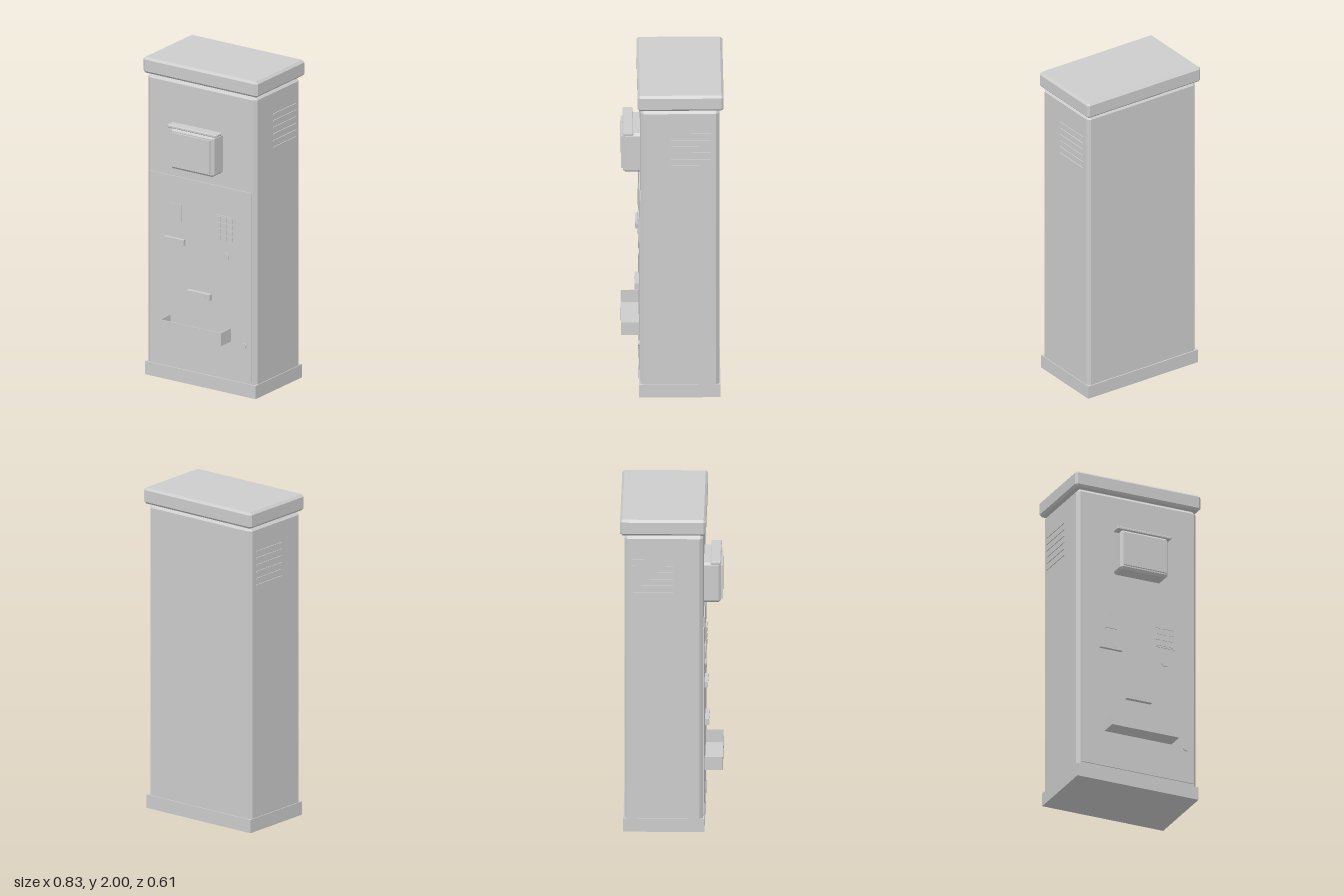
import * as THREE from 'three';
import { ConvexGeometry } from 'three/addons/geometries/ConvexGeometry.js';

const grey = new THREE.MeshStandardMaterial({ color: 0xcccccc });
grey.name = 'light grey metal';

export function createModel() {
  const root = new THREE.Group();
  root.name = 'ticketKiosk';

  const add = (name, geometry) => {
    const mesh = new THREE.Mesh(geometry, grey);
    mesh.name = name;
    root.add(mesh);
    return mesh;
  };

  // Box given by its limits
  const box = (name, x0, x1, y0, y1, z0, z1) => {
    const mesh = add(name, new THREE.BoxGeometry(x1 - x0, y1 - y0, z1 - z0));
    mesh.position.set((x0 + x1) / 2, (y0 + y1) / 2, (z0 + z1) / 2);
    return mesh;
  };

  // Box with every edge cut at 45 degrees by c
  const chamferBox = (name, x0, x1, y0, y1, z0, z1, c) => {
    const hx = (x1 - x0) / 2, hy = (y1 - y0) / 2, hz = (z1 - z0) / 2;
    const points = [];
    for (const sx of [-1, 1]) for (const sy of [-1, 1]) for (const sz of [-1, 1]) {
      points.push(
        new THREE.Vector3(sx * hx, sy * (hy - c), sz * (hz - c)),
        new THREE.Vector3(sx * (hx - c), sy * hy, sz * (hz - c)),
        new THREE.Vector3(sx * (hx - c), sy * (hy - c), sz * hz));
    }
    const mesh = add(name, new ConvexGeometry(points));
    mesh.position.set((x0 + x1) / 2, (y0 + y1) / 2, (z0 + z1) / 2);
    return mesh;
  };

  // Disc facing the front
  const disc = (name, x, y, z0, z1, r) => {
    const mesh = add(name, new THREE.CylinderGeometry(r, r, z1 - z0, 24).rotateX(Math.PI / 2));
    mesh.position.set(x, y, (z0 + z1) / 2);
    return mesh;
  };

  // Cabinet
  box('plinth', -0.4, 0.4, 0, 0.083, -0.287, 0.198);
  chamferBox('cabinet', -0.395, 0.395, 0.05, 1.895, -0.28, 0.19, 0.02);
  box('neck', -0.37, 0.37, 1.88, 1.91, -0.255, 0.165);
  chamferBox('roof', -0.414, 0.414, 1.9, 2, -0.305, 0.207, 0.014);
  box('door', -0.37, 0.37, 0.1, 1.29, 0.18, 0.196);

  // Side vents
  for (const side of [-1, 1]) for (let i = 0; i < 6; i++) {
    const y = 1.53 + i * 0.042;
    box('ventSlat', side * 0.396 - 0.004, side * 0.396 + 0.004, y - 0.005, y + 0.005, -0.23, 0.01);
  }

  // Display with its hood
  chamferBox('displayHousing', -0.157, 0.157, 1.373, 1.627, 0.17, 0.293, 0.014);
  box('displayScreen', -0.14, 0.14, 1.395, 1.605, 0.28, 0.303);
  chamferBox('displayHood', -0.178, 0.178, 1.627, 1.645, 0.231, 0.292, 0.004);

  // Card reader plate and button
  box('readerPlate', -0.22, -0.137, 1.01, 1.12, 0.19, 0.201);
  disc('readerButton', -0.18, 1.105, 0.2, 0.203, 0.005);

  // Keypad: backing plate and twelve keys
  box('keypadPlate', 0.11, 0.24, 0.95, 1.11, 0.19, 0.2);
  for (let col = 0; col < 3; col++) for (let row = 0; row < 4; row++) {
    const x = 0.133 + col * 0.042, y = 0.973 + row * 0.038;
    box('key', x - 0.016, x + 0.016, y - 0.014, y + 0.014, 0.198, 0.204);
  }

  // Slot block with a narrow raised lip
  const slot = (name, x0, x1, y0, y1, z) => {
    box(name, x0, x1, y0, y1, 0.18, z);
    const y = (y0 + y1) / 2;
    box(name + 'Lip', x0 + 0.03, x1 - 0.03, y - 0.004, y + 0.004, z - 0.002, z + 0.001);
  };
  slot('cardSlot', -0.255, -0.11, 0.868, 0.905, 0.216);
  slot('noteSlot', -0.084, 0.082, 0.562, 0.6, 0.222);

  disc('coinReturn', 0.18, 0.855, 0.185, 0.202, 0.026);
  disc('doorLock', 0.315, 0.32, 0.185, 0.205, 0.017);

  // Open collecting tray
  box('trayFront', -0.221, 0.221, 0.328, 0.411, 0.3, 0.304);
  box('trayFloor', -0.221, 0.221, 0.328, 0.332, 0.19, 0.301);
  for (const side of [-1, 1]) {
    box('traySide', side * 0.219 - 0.002, side * 0.219 + 0.002, 0.328, 0.411, 0.19, 0.301);
  }

  return root;
}
